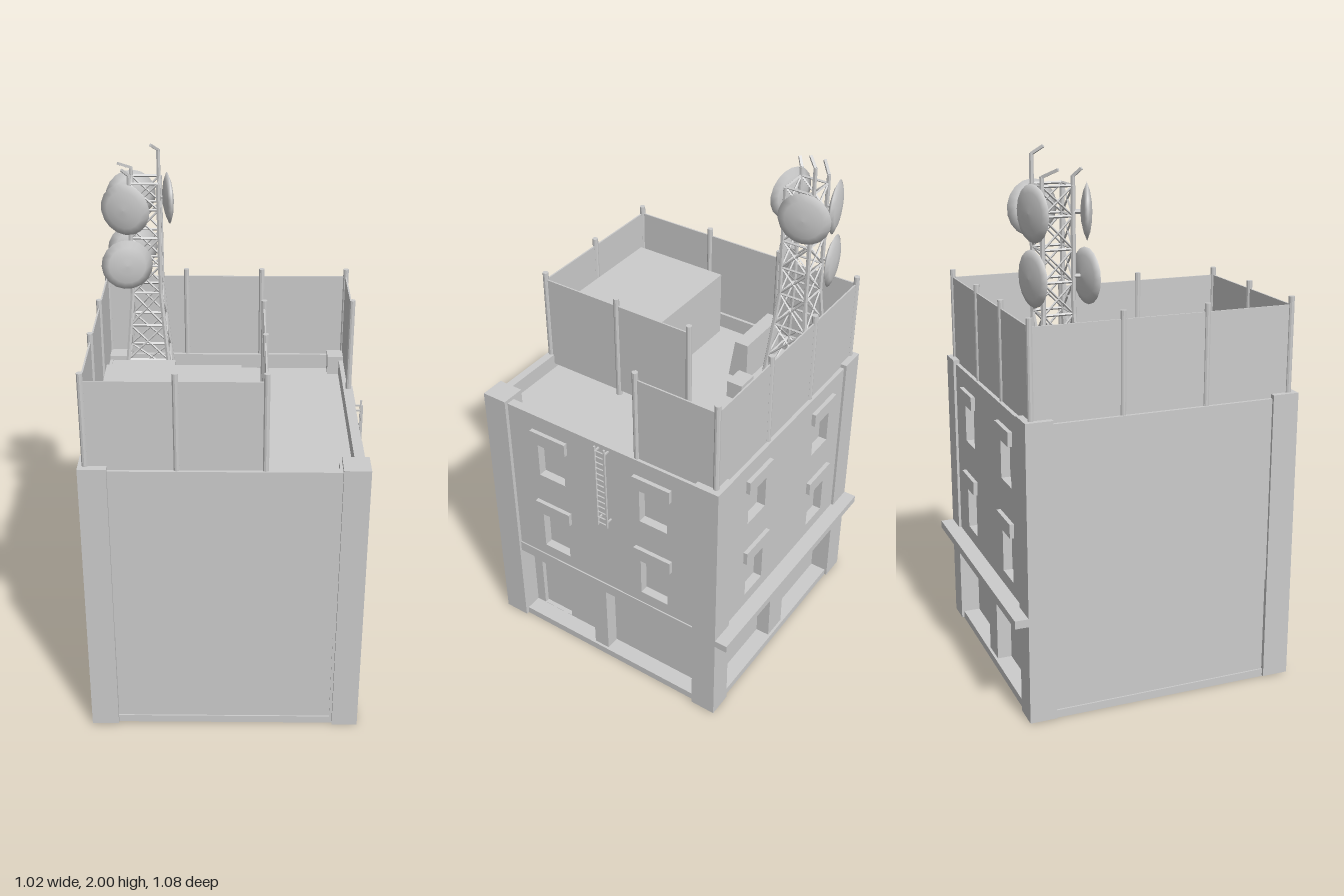
import * as THREE from 'three';

const mat = new THREE.MeshStandardMaterial({ color: 0xcccccc, flatShading: true });
const smooth = new THREE.MeshStandardMaterial({ color: 0xcccccc, side: THREE.DoubleSide });
const ROOF = 1.04;

function add(parent, name, geo, material = mat) {
  const m = new THREE.Mesh(geo, material);
  m.name = name;
  parent.add(m);
  return m;
}

// Box given by its extents
function box(parent, name, x0, x1, y0, y1, z0, z1) {
  const m = add(parent, name, new THREE.BoxGeometry(x1 - x0, y1 - y0, z1 - z0));
  m.position.set((x0 + x1) / 2, (y0 + y1) / 2, (z0 + z1) / 2);
  return m;
}

// Square or round bar between two points
function bar(parent, name, a, b, r, sides = 4) {
  const A = new THREE.Vector3(...a), B = new THREE.Vector3(...b);
  const d = B.clone().sub(A);
  const m = add(parent, name, new THREE.CylinderGeometry(r, r, d.length(), sides));
  m.position.copy(A).add(B).multiplyScalar(0.5);
  m.quaternion.setFromUnitVectors(new THREE.Vector3(0, 1, 0), d.normalize());
  return m;
}

function rect(Type, x0, x1, y0, y1) {
  const s = new Type();
  s.moveTo(x0, y0);
  s.lineTo(x1, y0);
  s.lineTo(x1, y1);
  s.lineTo(x0, y1);
  s.closePath();
  return s;
}

// Wall plate with rectangular openings; its outer face lies at z = outer
function plate(parent, name, ext, holes, depth, outer) {
  const s = rect(THREE.Shape, ...ext);
  holes.forEach(h => s.holes.push(rect(THREE.Path, ...h)));
  const m = add(parent, name, new THREE.ExtrudeGeometry(s, { depth, bevelEnabled: false }));
  m.position.z = outer - depth;
}

// Street facade, built facing local +z
function facade(name, u0, u1, windows, pier, door) {
  const g = new THREE.Group();
  g.name = name;
  const holes = [];
  for (const u of windows) {
    for (const [y0, y1] of [[0.46, 0.69], [0.82, 1.03]]) {
      holes.push([u - 0.06, u + 0.06, y0, y1]);
      box(g, 'lintel', u - 0.08, u + 0.08, y1 - 0.05, y1 + 0.003, 0.44, 0.496);
    }
  }
  plate(g, 'windowWall', [u0, u1, 0.41, 1.1], holes, 0.035, 0.48);
  box(g, 'band', u0, u1, 0.365, 0.41, 0.4, 0.485);
  plate(g, 'shopWall', [u0, u1, 0.03, 0.37], door ? [door] : [], 0.02, 0.415);
  box(g, 'shopPier', pier[0], pier[1], 0.03, 0.37, 0.4, 0.47);
  return g;
}

function building() {
  const g = new THREE.Group();
  g.name = 'building';
  box(g, 'base', -0.5, 0.48, 0, 0.03, -0.48, 0.525);
  box(g, 'lowerCore', -0.494, 0.396, 0.03, 0.4, -0.396, 0.52);
  box(g, 'upperCore', -0.5, 0.446, 0.4, ROOF, -0.446, 0.525);
  // Corner pillars
  for (const [x0, x1] of [[-0.51, -0.41], [0.4, 0.495]])
    for (const [z0, z1] of [[-0.49, -0.39], [0.44, 0.54]])
      box(g, 'cornerPillar', x0, x1, 0.004, 1.115, z0, z1);
  // Parapet
  box(g, 'frontParapet', -0.45, 0.45, ROOF, 1.1, 0.495, 0.525);
  box(g, 'sideParapet', -0.5, -0.47, ROOF, 1.1, -0.45, 0.5);
  box(g, 'rightEndWall', 0.39, 0.48, 0.03, 1.1, 0.45, 0.525);
  // Street sides
  const right = facade('sideFacade', -0.45, 0.4, [-0.25, 0.21], [-0.095, -0.03], [-0.4, -0.26, 0.031, 0.265]);
  right.rotation.y = Math.PI / 2;
  const back = facade('backFacade', -0.41, 0.42, [-0.215, 0.25], [-0.05, 0.05]);
  back.rotation.y = Math.PI;
  g.add(right, back);
  box(g, 'backLedge', -0.51, 0.495, 0.38, 0.41, -0.54, -0.47);
  return g;
}

function fence() {
  const g = new THREE.Group();
  g.name = 'roofFence';
  const L = -0.485, M = 0.135, R = 0.465, F = 0.51, B = -0.462;
  const posts = [[L, B], [-0.17, B], [0.13, B], [R, B], [R, -0.135], [L, -0.13], [L, 0.183],
    [L, F], [-0.17, F], [M, F], [M, 0.185], [M, -0.13]];
  for (const [x, z] of posts)
    bar(g, 'fencePost', [x, x === M && z < F ? ROOF - 0.02 : 1.06, z], [x, 1.465, z], 0.011, 10);
  const t = 0.003;
  box(g, 'frontPanel', L, M, 1.09, 1.435, F - t, F + t);
  box(g, 'backPanel', L, R, 1.09, 1.435, B - t, B + t);
  box(g, 'leftPanel', L - t, L + t, 1.09, 1.435, B, F);
  box(g, 'innerPanel', M - t, M + t, 1.06, 1.435, -0.13, F);
  box(g, 'cornerPanel', R - t, R + t, 1.09, 1.435, B, -0.135);
  return g;
}

function ladder() {
  const g = new THREE.Group();
  g.name = 'ladder';
  for (const z of [-0.02, 0.022]) {
    box(g, 'ladderRail', 0.501, 0.509, 0.735, 1.105, z - 0.003, z + 0.003);
    for (const y of [0.76, 1.08]) box(g, 'ladderBracket', 0.475, 0.505, y, y + 0.006, z - 0.003, z + 0.003);
  }
  for (let i = 0; i < 14; i++)
    bar(g, 'rung', [0.505, 0.75 + i * 0.026, -0.02], [0.505, 0.75 + i * 0.026, 0.022], 0.003);
  return g;
}

function roofUnits() {
  const g = new THREE.Group();
  g.name = 'roofUnits';
  box(g, 'roofHouse', -0.44, 0.05, ROOF, 1.305, 0.1, 0.488);
  box(g, 'ventBox', -0.165, -0.08, ROOF, 1.11, -0.3, -0.235);
  box(g, 'ventBox', -0.165, -0.08, ROOF, 1.11, -0.225, -0.16);
  // Cabinet with a sloping front
  const s = new THREE.Shape([[0.17, 0], [0.17, 0.16], [0.115, 0.16], [0.09, 0]].map(p => new THREE.Vector2(...p)));
  const m = add(g, 'slopedCabinet', new THREE.ExtrudeGeometry(s, { depth: 0.24, bevelEnabled: false }));
  m.rotation.y = Math.PI / 2;
  m.position.set(-0.445, ROOF, 0);
  return g;
}

function tower() {
  const g = new THREE.Group();
  g.name = 'antennaTower';
  const cx = -0.315, cz = -0.318;
  const levels = [[1.04, 0.09], [1.17, 0.078], [1.31, 0.065], [1.44, 0.054], [1.55, 0.054],
    [1.66, 0.054], [1.77, 0.054], [1.87, 0.054]];
  const corner = (k, [y, w]) => [cx + w * [-1, 1, 1, -1][k % 4], y, cz + w * [-1, -1, 1, 1][k % 4]];
  // Lattice: legs, rings and crossed braces
  levels.forEach((lv, i) => {
    for (let k = 0; k < 4; k++) {
      if (i) bar(g, 'ring', corner(k, lv), corner(k + 1, lv), 0.005);
      const up = levels[i + 1];
      if (!up) continue;
      bar(g, 'leg', corner(k, lv), corner(k, up), 0.009, 6);
      bar(g, 'brace', corner(k, lv), corner(k + 1, up), 0.004);
      bar(g, 'brace', corner(k + 1, lv), corner(k, up), 0.004);
    }
  });
  // Hooked masts
  for (const [x, z, tx, tz, y] of [[-0.265, -0.372, -0.29, -0.338, 1.995],
    [-0.369, -0.372, -0.413, -0.33, 1.928], [-0.369, -0.264, -0.392, -0.242, 1.928]]) {
    bar(g, 'mast', [x, 1.85, z], [x, y - 0.025, z], 0.008, 6);
    bar(g, 'mastHook', [x, y - 0.027, z], [tx, y, tz], 0.007);
  }
  // Dishes: lens-shaped drums on short arms
  const profile = [[0, -0.02], [0.035, -0.017], [0.07, -0.009], [0.097, 0.002],
    [0.07, 0.012], [0.035, 0.018], [0, 0.02]].map(p => new THREE.Vector2(...p));
  const geo = new THREE.LatheGeometry(profile, 18);
  for (const [x, y, z, nx, nz] of [
    [-0.382, 1.785, -0.222, -0.32, 0.95], [-0.382, 1.57, -0.224, 0.15, 0.99],
    [-0.375, 1.785, -0.405, -0.25, -0.97], [-0.375, 1.57, -0.408, -0.2, -0.98],
    [-0.232, 1.787, -0.36, 0.98, -0.2]]) {
    const d = add(g, 'dish', geo, smooth);
    d.position.set(x, y, z);
    d.quaternion.setFromUnitVectors(new THREE.Vector3(0, 1, 0), new THREE.Vector3(nx, 0, nz).normalize());
    const leg = [x < -0.3 ? cx - 0.054 : cx + 0.054, y, z > cz ? cz + 0.054 : cz - 0.054];
    bar(g, 'dishArm', [x, y, z], leg, 0.008, 6);
  }
  return g;
}

export function createModel() {
  const model = new THREE.Group();
  model.name = 'cornerBuilding';
  model.add(building(), fence(), ladder(), roofUnits(), tower());
  return model;
}
